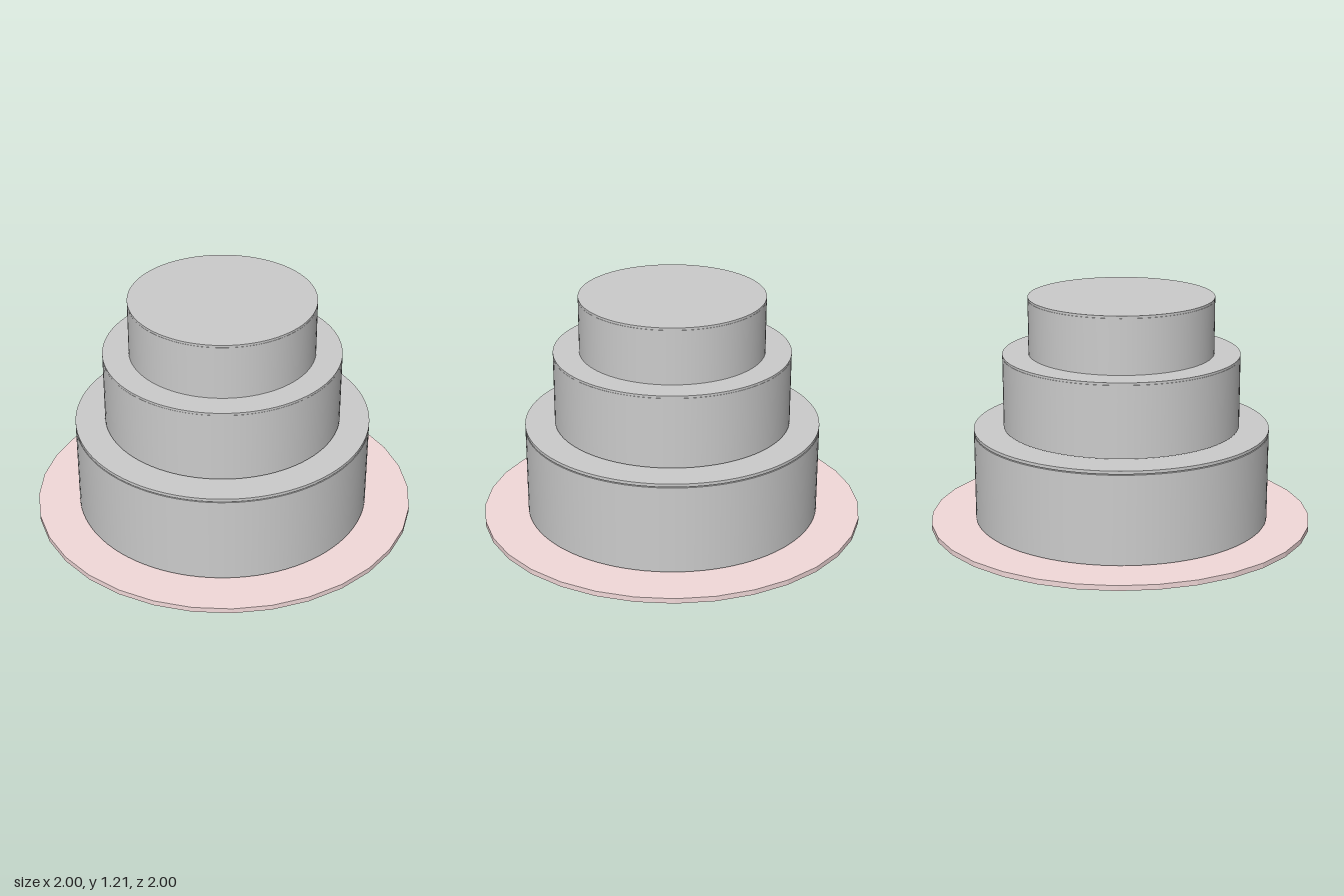
import * as THREE from 'three';

export function createModel() {
  const model = new THREE.Group();
  model.name = 'tieredCake';
  const icing = new THREE.MeshStandardMaterial({ color: 0xcccccc });
  const boardPink = new THREE.MeshStandardMaterial({ color: 0xf2d9d9, flatShading: true });

  // upright disc between two heights
  function disc(name, radius, bottom, top, sides, material) {
    const mesh = new THREE.Mesh(new THREE.CylinderGeometry(radius, radius, top - bottom, sides), material);
    mesh.name = name;
    mesh.position.y = (bottom + top) / 2;
    return mesh;
  }

  // faceted cake board
  model.add(disc('cakeBoard', 1, 0, 0.027, 32, boardPink));

  // three tiers, each a body with a thin icing lid just above it
  const tiers = [
    { name: 'bottomTier', radius: 0.77, bottom: 0.037, top: 0.52, lid: 0.016, gap: 0.005 },
    { name: 'middleTier', radius: 0.615, bottom: 0.53, top: 0.913, lid: 0.012, gap: 0.001 },
    { name: 'topTier', radius: 0.48, bottom: 0.914, top: 1.21, lid: 0.012, gap: 0.001 },
  ];
  for (const { name, radius, bottom, top, lid, gap } of tiers) {
    const tier = new THREE.Group();
    tier.name = name;
    tier.add(disc(name + 'Body', radius, bottom, top - lid - gap, 96, icing));
    tier.add(disc(name + 'Lid', radius, top - lid, top, 96, icing));
    tier.position.set(-0.007, 0, -0.004);
    model.add(tier);
  }
  return model;
}
